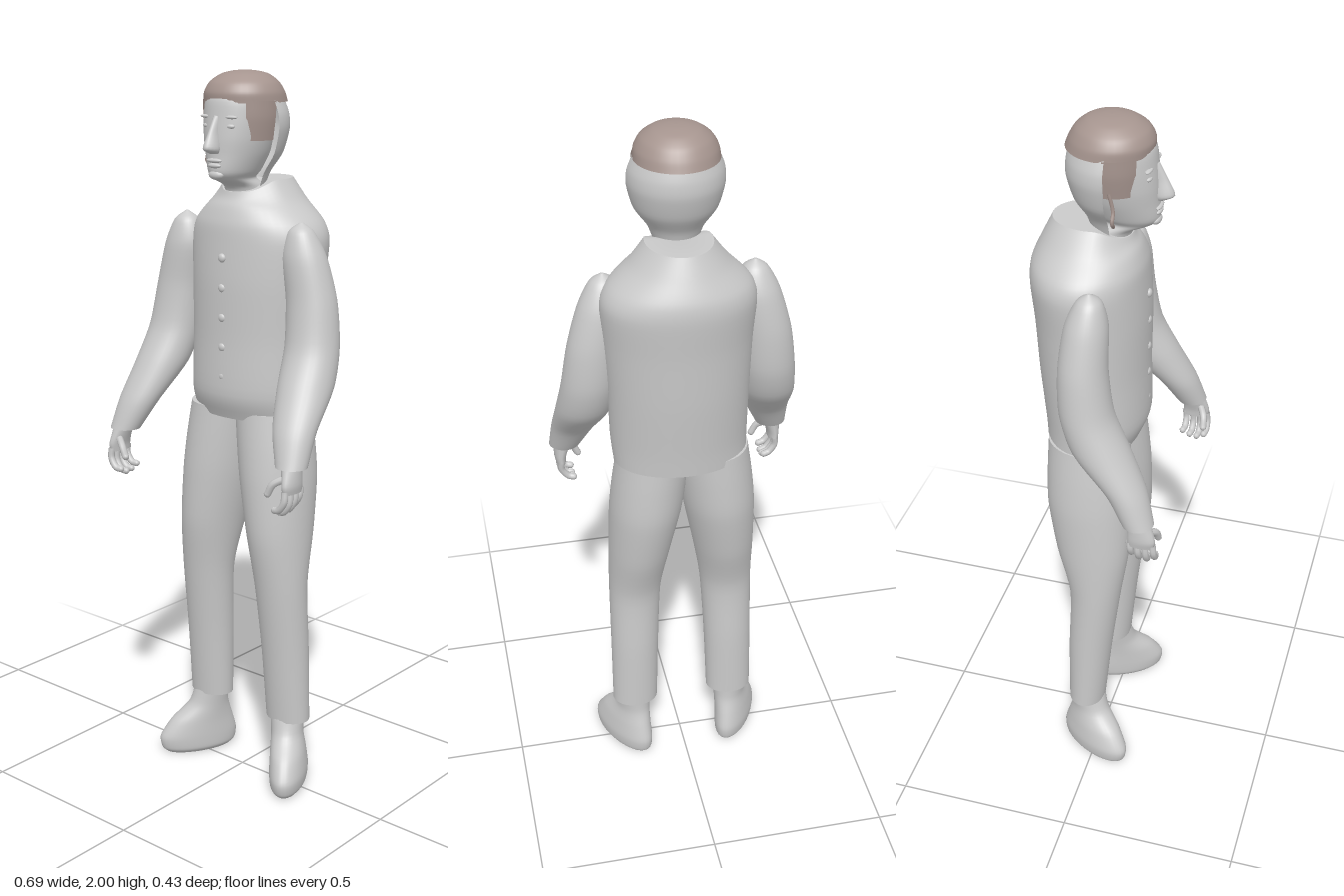
import * as THREE from 'three';

const grey = new THREE.MeshStandardMaterial({ color: 0xcacaca, side: THREE.DoubleSide });
grey.name = 'pale grey';
const brown = new THREE.MeshStandardMaterial({ color: 0xa6958f, side: THREE.DoubleSide });
brown.name = 'hair brown';

// Smooth skin through horizontal ellipses [x, y, z, rx, rz], listed bottom to top.
// side = -1 mirrors the centre line; a0..a1 gives an open arc (PI / 2 is the front).
function loft(rings, { side = 1, segs = 32, sub = 5, a0 = 0, a1 = Math.PI * 2 } = {}) {
  const full = a1 - a0 > 6.28;
  const curve = (f) => new THREE.CatmullRomCurve3(rings.map(f), false, 'catmullrom', 0.4);
  const centre = curve((r) => new THREE.Vector3(r[0] * side, r[1], r[2]));
  const radius = curve((r) => new THREE.Vector3(r[3], 0, r[4]));
  const rows = (rings.length - 1) * sub;
  const cols = full ? segs : segs + 1;
  const pos = [];
  const idx = [];
  const addRing = (t) => {
    const c = centre.getPoint(t);
    const r = radius.getPoint(t);
    for (let i = 0; i < cols; i++) {
      const a = a0 + ((a1 - a0) * i) / segs;
      pos.push(c.x + Math.cos(a) * r.x, c.y, c.z + Math.sin(a) * r.z);
    }
    return c;
  };
  for (let j = 0; j <= rows; j++) addRing(j / rows);
  for (let j = 0; j < rows; j++) {
    for (let i = 0; i < segs; i++) {
      const k = (i + 1) % cols;
      const a = j * cols + i, b = j * cols + k;
      idx.push(a, a + cols, b, b, a + cols, b + cols);
    }
  }
  // Flat end caps with their own vertices keep the rims crisp
  if (full) {
    for (const t of [0, 1]) {
      const start = pos.length / 3;
      const c = addRing(t);
      pos.push(c.x, c.y, c.z);
      for (let i = 0; i < segs; i++) {
        const p = start + i, q = start + ((i + 1) % cols), m = start + cols;
        if (t === 0) idx.push(m, p, q);
        else idx.push(m, q, p);
      }
    }
  }
  const g = new THREE.BufferGeometry();
  g.setAttribute('position', new THREE.Float32BufferAttribute(pos, 3));
  g.setIndex(idx);
  g.computeVertexNormals();
  return g;
}

function add(parent, name, geometry, material = grey) {
  const m = new THREE.Mesh(geometry, material);
  m.name = name;
  parent.add(m);
  return m;
}

function blob(parent, name, x, y, z, rx, ry, rz) {
  const m = add(parent, name, new THREE.SphereGeometry(1, 16, 12));
  m.position.set(x, y, z);
  m.scale.set(rx, ry, rz);
  return m;
}

function tube(parent, name, points, r, material = grey) {
  const path = new THREE.CatmullRomCurve3(points.map((p) => new THREE.Vector3(...p)));
  add(parent, name, new THREE.TubeGeometry(path, 10, r, 8), material);
  const tip = add(parent, name + 'Tip', new THREE.SphereGeometry(r, 8, 6), material);
  tip.position.set(...points[points.length - 1]);
}

function buildTorso(parent) {
  const g = loft([
    [0.008, 1.08, -0.045, 0.183, 0.125], [0.01, 1.15, -0.036, 0.187, 0.14],
    [0.012, 1.3, -0.045, 0.19, 0.146], [0.015, 1.45, -0.05, 0.197, 0.151],
    [0.015, 1.56, -0.058, 0.203, 0.153], [0.013, 1.61, -0.058, 0.185, 0.148],
    [0.012, 1.665, -0.055, 0.13, 0.127], [0.012, 1.72, -0.05, 0.087, 0.105],
  ], { segs: 48 });
  // Dip the neckline at the front
  const p = g.attributes.position;
  for (let i = 0; i < p.count; i++) {
    const high = THREE.MathUtils.smoothstep(p.getY(i), 1.64, 1.72);
    const front = THREE.MathUtils.smoothstep(p.getZ(i), -0.03, 0.055);
    p.setY(i, p.getY(i) - 0.03 * high * front);
  }
  g.computeVertexNormals();
  add(parent, 'jacket', g);
  for (const y of [1.2, 1.28, 1.36, 1.44, 1.52]) blob(parent, 'button', 0.012, y, 0.098, 0.012, 0.012, 0.008);
}

function buildLeg(parent, s) {
  add(parent, 'trouserLeg', loft([
    [0.145, 0.19, -0.032, 0.067, 0.053], [0.141, 0.4, -0.022, 0.07, 0.063],
    [0.135, 0.6, -0.008, 0.075, 0.073], [0.122, 0.75, -0.018, 0.087, 0.103],
    [0.105, 0.9, -0.031, 0.1, 0.118], [0.093, 1.0, -0.035, 0.102, 0.117],
    [0.08, 1.1, -0.038, 0.1, 0.112],
  ], { side: s }));
  // Foot turned outward
  const foot = new THREE.Group();
  foot.name = 'foot';
  foot.position.x = s * 0.175;
  foot.rotation.y = s * 0.5;
  add(foot, 'shoe', loft([
    [0, 0, 0, 0.04, 0.1], [0, 0.015, 0, 0.05, 0.115], [0, 0.05, 0, 0.053, 0.119],
    [-0.004, 0.1, -0.01, 0.05, 0.095], [-0.01, 0.15, -0.03, 0.046, 0.06],
    [-0.012, 0.21, -0.04, 0.05, 0.047],
  ], { side: s }));
  parent.add(foot);
}

function buildArm(parent, s) {
  add(parent, 'sleeve', loft([
    [0.3, 1.015, 0.158, 0.043, 0.042], [0.278, 1.1, 0.118, 0.06, 0.055],
    [0.257, 1.2, 0.047, 0.074, 0.077], [0.244, 1.3, 0.005, 0.074, 0.071],
    [0.23, 1.42, -0.008, 0.07, 0.064], [0.207, 1.53, -0.005, 0.062, 0.056],
    [0.2, 1.595, 0, 0.036, 0.034], [0.2, 1.62, 0, 0.004, 0.004],
  ], { side: s }));
  const hand = new THREE.Group();
  hand.name = 'hand';
  add(hand, 'palm', loft([
    [0.312, 0.95, 0.168, 0.014, 0.036], [0.312, 0.975, 0.17, 0.018, 0.038],
    [0.302, 1.03, 0.16, 0.026, 0.03],
  ], { side: s, segs: 16 }));
  for (let i = 0; i < 4; i++) {
    const z = 0.138 + i * 0.021;
    const low = [0.91, 0.9, 0.897, 0.907][i];
    tube(hand, 'finger', [[s * 0.313, 0.96, z], [s * 0.313, low + 0.025, z + 0.003], [s * 0.295, low, z + 0.003], [s * 0.28, low - 0.003, z]], 0.0095);
  }
  tube(hand, 'thumb', [[s * 0.3, 0.99, 0.185], [s * 0.273, 0.972, 0.2], [s * 0.258, 0.945, 0.203]], 0.01);
  parent.add(hand);
}

function buildHead(parent) {
  const head = new THREE.Group();
  head.name = 'head';
  head.position.x = 0.008;
  add(head, 'faceAndNeck', loft([
    [0, 1.64, -0.015, 0.06, 0.065], [0, 1.7, 0, 0.053, 0.056], [0, 1.725, 0.04, 0.046, 0.068],
    [0, 1.745, 0.04, 0.058, 0.084], [0, 1.79, 0.028, 0.076, 0.095], [0, 1.83, 0.025, 0.086, 0.097],
    [0, 1.88, 0.02, 0.092, 0.097], [0, 1.93, 0.015, 0.09, 0.094], [0, 1.965, 0.005, 0.07, 0.075],
  ], { segs: 40 }));
  add(head, 'nose', loft([
    [0, 1.793, 0.122, 0.014, 0.014], [0, 1.807, 0.13, 0.019, 0.03],
    [0, 1.845, 0.12, 0.012, 0.023], [0, 1.888, 0.108, 0.009, 0.012],
  ], { segs: 16 }));
  blob(head, 'upperLip', 0, 1.775, 0.122, 0.026, 0.006, 0.009);
  blob(head, 'lowerLip', 0, 1.762, 0.121, 0.022, 0.007, 0.009);
  blob(head, 'chin', 0, 1.738, 0.114, 0.024, 0.013, 0.014);
  for (const s of [-1, 1]) {
    blob(head, 'eye', s * 0.037, 1.862, 0.103, 0.016, 0.007, 0.009);
    blob(head, 'brow', s * 0.038, 1.885, 0.103, 0.024, 0.005, 0.009);
  }
  // Half shell behind the head
  add(head, 'backOfHead', loft([
    [0, 1.69, 0.01, 0.055, 0.06], [0, 1.74, 0.01, 0.074, 0.075], [0, 1.79, 0.01, 0.108, 0.106],
    [0, 1.85, 0.01, 0.124, 0.124], [0, 1.89, 0.01, 0.122, 0.123], [0, 1.93, 0.01, 0.106, 0.112],
  ], { a0: Math.PI, a1: Math.PI * 2 }));

  // Hair: rounded crown, side locks, and a loose wisp
  add(head, 'hairCrown', loft([
    [0, 1.92, -0.004, 0.109, 0.112], [0, 1.945, 0.001, 0.105, 0.107], [0, 1.97, 0.002, 0.09, 0.092],
    [0, 1.99, 0, 0.062, 0.063], [0, 1.998, 0, 0.03, 0.03], [0, 2.0, 0, 0.002, 0.002],
  ], { segs: 40 }), brown);
  for (const a of [0, Math.PI - 0.85]) {
    add(head, 'hairSide', loft([
      [0, 1.825, 0.006, 0.101, 0.094], [0, 1.88, 0.006, 0.109, 0.098], [0, 1.925, 0.004, 0.11, 0.102],
    ], { a0: a, a1: a + 0.85, segs: 12 }), brown);
  }
  tube(head, 'hairWisp', [[-0.1, 1.84, 0.02], [-0.098, 1.79, 0.03], [-0.108, 1.765, 0.03], [-0.095, 1.75, 0.03]], 0.005, brown);
  parent.add(head);
}

export function createModel() {
  const model = new THREE.Group();
  model.name = 'standingFigure';
  buildTorso(model);
  for (const s of [-1, 1]) {
    buildLeg(model, s);
    buildArm(model, s);
  }
  buildHead(model);
  return model;
}
